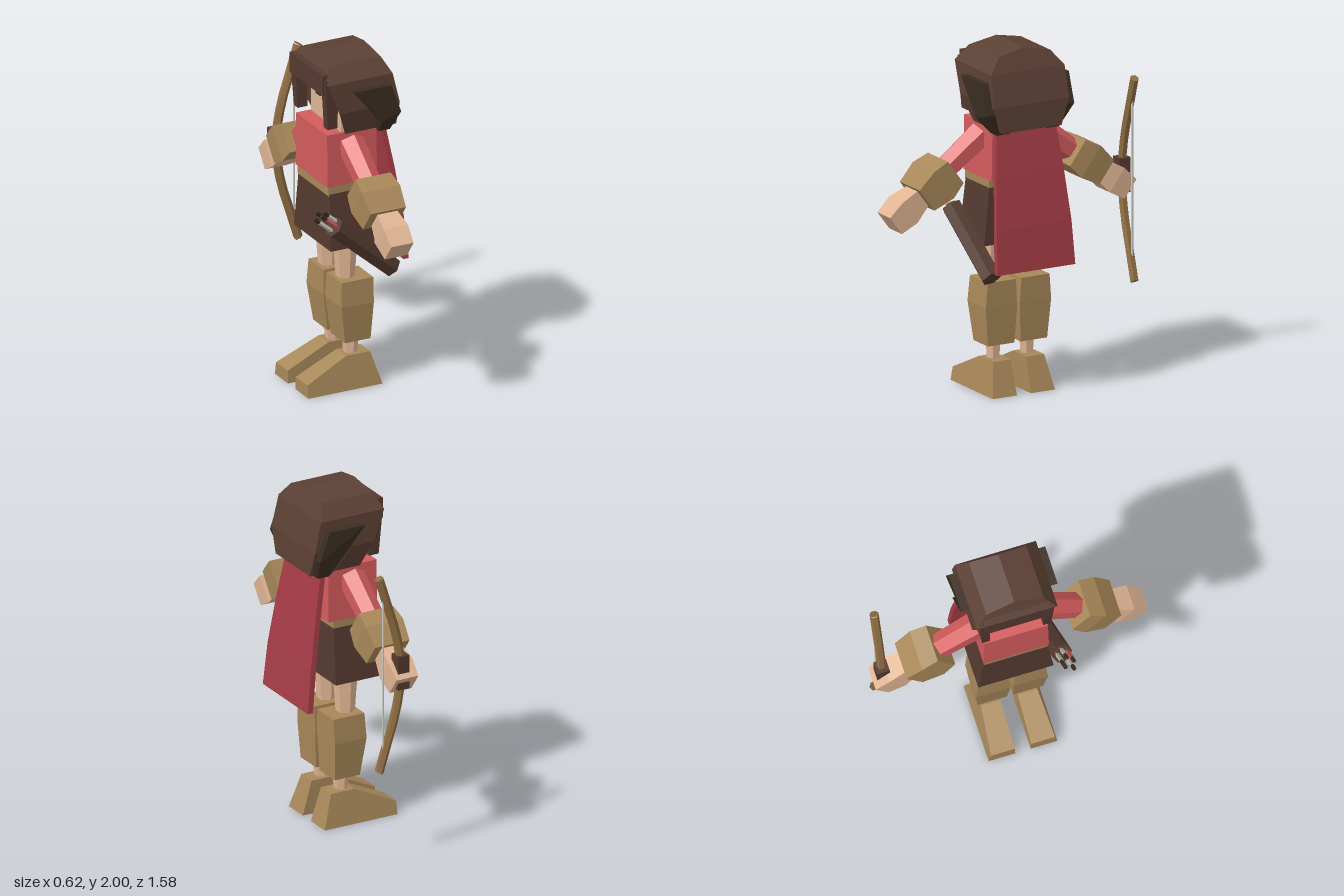
import * as THREE from 'three';

const mat = (name, color, side = THREE.FrontSide) => {
  const m = new THREE.MeshStandardMaterial({ color, side, flatShading: true });
  m.name = name;
  return m;
};

// Triangle soup from a list of polygons (each a list of [x,y,z])
function polygons(faces) {
  const p = [];
  for (const f of faces)
    for (let i = 1; i < f.length - 1; i++) p.push(...f[0], ...f[i], ...f[i + 1]);
  return p;
}

function toGeometry(p) {
  const g = new THREE.BufferGeometry();
  g.setAttribute('position', new THREE.Float32BufferAttribute(p, 3));
  g.computeVertexNormals();
  return g;
}

// Closed solid through rings of equal length, capped, always facing outwards
function loft(rings) {
  const faces = [[...rings[0]].reverse(), rings[rings.length - 1]];
  for (let r = 0; r < rings.length - 1; r++)
    rings[r].forEach((a, i) => {
      const j = (i + 1) % rings[r].length;
      faces.push([a, rings[r][j], rings[r + 1][j], rings[r + 1][i]]);
    });
  const volume = (p) => {
    let v = 0;
    const a = new THREE.Vector3(), b = new THREE.Vector3(), c = new THREE.Vector3();
    for (let i = 0; i < p.length; i += 9)
      v += a.fromArray(p, i).dot(b.fromArray(p, i + 3).cross(c.fromArray(p, i + 6)));
    return v;
  };
  let p = polygons(faces);
  if (volume(p) < 0) p = polygons(faces.map((f) => [...f].reverse()));
  return toGeometry(p);
}

// Stack of rectangles [y, x0, x1, z0, z1]; s = -1 mirrors in z
const stack = (rows, s = 1) => loft(rows.map(([y, x0, x1, z0, z1]) =>
  [[x0, y, s * z0], [x1, y, s * z0], [x1, y, s * z1], [x0, y, s * z1]]));

export function createModel() {
  const skin = mat('skin', 0xe0b594);
  const shirt = mat('red shirt', 0xd45c5e);
  const cloth = mat('crimson cape', 0xa63c46);
  const tan = mat('tan leather', 0xa88859);
  const leather = mat('brown leather', 0x543a2f);
  const hoodMat = mat('hood brown', 0x5c4034, THREE.DoubleSide);
  const dark = mat('dark brown', 0x3a2d21);
  const wood = mat('bow wood', 0x8f6d42);
  const pale = mat('pale grey', 0xc9c9c2);

  const model = new THREE.Group();
  const add = (name, geo, m, parent = model) => {
    const mesh = new THREE.Mesh(geo, m);
    mesh.name = name;
    parent.add(mesh);
    return mesh;
  };
  const box = (name, x0, x1, y0, y1, z0, z1, m, parent) => {
    const mesh = add(name, new THREE.BoxGeometry(x1 - x0, y1 - y0, z1 - z0), m, parent);
    mesh.position.set((x0 + x1) / 2, (y0 + y1) / 2, (z0 + z1) / 2);
    return mesh;
  };
  // Rod between two points
  const rod = (name, a, b, r, sides, m, parent) => {
    const d = b.clone().sub(a);
    const mesh = add(name, new THREE.CylinderGeometry(r, r, d.length(), sides), m, parent);
    mesh.position.copy(a).add(b).multiplyScalar(0.5);
    mesh.quaternion.setFromUnitVectors(new THREE.Vector3(0, 1, 0), d.normalize());
    return mesh;
  };
  const V = (x, y, z) => new THREE.Vector3(x, y, z);

  // Torso, belt and skirt
  add('shirt', stack([[1.245, -0.165, 0.145, -0.19, 0.19], [1.56, -0.165, 0.145, -0.185, 0.185]]), shirt);
  box('belt', -0.155, 0.11, 1.19, 1.25, -0.185, 0.185, tan);
  add('skirt', stack([[0.87, -0.16, 0.115, -0.22, 0.22], [1.2, -0.15, 0.11, -0.185, 0.185]]), leather);

  // Cape hanging away from the back
  const capeRows = [[1.55, 0.165, 0.19], [1.3, 0.21, 0.215], [1.0, 0.255, 0.24], [0.75, 0.28, 0.25]];
  add('cape', stack(capeRows.map(([y, x, w]) => [y, x, x + 0.033, -w, w])), cloth);

  // Hood: rows of [y, half width, front x, back x], open at the face
  const rows = [[2, 0, -0.13, 0.165], [1.965, 0.167, -0.145, 0.18], [1.88, 0.235, -0.185, 0.22],
    [1.7, 0.24, -0.115, 0.262], [1.55, 0.19, -0.055, 0.265]];
  const hoodFaces = [];
  for (let i = 0; i < rows.length - 1; i++) {
    const [y, w, f, b] = rows[i], [y2, w2, f2, b2] = rows[i + 1];
    hoodFaces.push([[f, y, w], [f2, y2, w2], [b2, y2, w2], [b, y, w]]);
    hoodFaces.push([[b, y, -w], [b2, y2, -w2], [f2, y2, -w2], [f, y, -w]]);
    hoodFaces.push([[b, y, w], [b2, y2, w2], [b2, y2, -w2], [b, y, -w]]);
    // brow above the face
    if (i < 2) hoodFaces.push([[f, y, -w], [f2, y2, -w2], [f2, y2, w2], [f, y, w]]);
  }
  hoodFaces.push([[-0.055, 1.55, 0.19], [-0.055, 1.55, -0.19], [0.265, 1.55, -0.19], [0.265, 1.55, 0.19]]);
  add('hood', toGeometry(polygons(hoodFaces)), hoodMat);

  // Face, eyes, fringe and side locks
  box('face', -0.075, 0.1, 1.56, 1.92, -0.18, 0.18, skin);
  box('neck', -0.06, 0.06, 1.5, 1.58, -0.06, 0.06, skin);
  box('fringe', -0.2, -0.12, 1.81, 1.93, -0.195, 0.195, leather);

  for (const s of [1, -1]) {
    const side = s > 0 ? 'left' : 'right';
    box(side + 'Eye', -0.082, -0.074, 1.69, 1.79, s * 0.085 - 0.025, s * 0.085 + 0.025, dark);
    add(side + 'Lock', stack([[1.6, -0.17, -0.108, 0.155, 0.2], [1.9, -0.19, -0.11, 0.16, 0.215]], s), leather);

    // Dark flap on the side of the hood, its tip bent inwards
    const flap = [[-0.04, 1.83], [0.19, 1.83], [0.25, 1.66], [0.22, 1.53], [0.15, 1.53], [0.13, 1.62]];
    const flapRing = (z) => flap.map(([x, y]) => [x, y, s * (y < 1.6 ? z - 0.08 : z)]);
    add(side + 'HoodFlap', loft([flapRing(0.2), flapRing(0.28)]), dark);

    // Arm, built along +y then swung out and down
    const arm = new THREE.Group();
    arm.name = side + 'Arm';
    arm.position.set(-0.012, 1.46, s * 0.2);
    arm.rotation.x = s * 2.21;
    model.add(arm);
    const sleeve = add('sleeve', new THREE.CylinderGeometry(0.07, 0.08, 0.34, 6), shirt, arm);
    sleeve.position.y = 0.13;
    add('bracer', stack([[0.24, -0.11, 0.11, -0.085, 0.085], [0.34, -0.12, 0.12, -0.105, 0.105],
      [0.47, -0.11, 0.11, -0.08, 0.08]]), tan, arm);
    add('hand', stack([[0.45, -0.06, 0.06, -0.055, 0.055], [0.58, -0.076, 0.076, -0.08, 0.08],
      [0.69, -0.07, 0.07, -0.064, 0.064]]), skin, arm);

    // Leg, shin guard and shoe
    const thigh = add(side + 'Thigh', new THREE.CylinderGeometry(0.072, 0.05, 0.32, 6), skin);
    thigh.position.set(-0.01, 0.76, s * 0.105);
    const ankle = add(side + 'Ankle', new THREE.CylinderGeometry(0.05, 0.038, 0.16, 6), skin);
    ankle.position.set(0.02, 0.25, s * 0.108);
    add(side + 'ShinGuard', stack([[0.285, -0.055, 0.105, 0.02, 0.19], [0.51, -0.087, 0.115, 0.008, 0.21],
      [0.655, -0.08, 0.118, 0.018, 0.198]], s), tan);
    const shoe = [[-0.29, 0], [0.175, 0], [0.115, 0.195], [-0.035, 0.195], [-0.29, 0.075]];
    add(side + 'Shoe', loft([
      shoe.map(([x, y]) => [x, y, s * (0.045 + y * 0.03)]),
      shoe.map(([x, y]) => [x, y, s * (0.2 - y * 0.18)]),
    ]), tan);
  }

  // Quiver slung on the left hip, with arrows
  const quiver = new THREE.Group();
  quiver.name = 'quiver';
  model.add(quiver);
  const mouth = V(-0.165, 1.04, 0.265), foot = V(0.217, 0.71, 0.23);
  rod('quiverBody', foot, mouth, 0.06, 6, leather, quiver);
  const dir = mouth.clone().sub(foot).normalize();
  const across = V(0.65, 0.76, 0);
  for (let i = 0; i < 5; i++) {
    const a = i * Math.PI * 0.4;
    const base = mouth.clone().addScaledVector(across, 0.032 * Math.cos(a));
    base.z += 0.032 * Math.sin(a);
    const at = (t) => base.clone().addScaledVector(dir, t);
    const len = 0.11 + 0.02 * (i % 3);
    rod('arrowShaft', at(-0.05), at(len), 0.007, 5, wood, quiver);
    rod('arrowFletching', at(0.01), at(len - 0.03), 0.014, 3, i % 2 ? shirt : pale, quiver);
    rod('arrowNock', at(len - 0.03), at(len + 0.01), 0.012, 5, dark, quiver);
  }

  // Bow held upright in the right hand
  const bow = new THREE.Group();
  bow.name = 'bow';
  bow.position.set(0, 1.125, -0.733);
  model.add(bow);
  const curve = new THREE.CatmullRomCurve3([[0.135, 0.58], [0.085, 0.42], [0.025, 0.22], [-0.004, 0],
    [0.025, -0.22], [0.085, -0.42], [0.135, -0.58]].map(([x, y]) => V(x, y, 0)));
  add('bowLimbs', new THREE.TubeGeometry(curve, 12, 0.026, 6), wood, bow);
  for (const e of [1, -1]) {
    const tip = V(0.135, e * 0.58, 0);
    rod('bowTip', tip.clone(), V(0.138, e * 0.585, 0), 0.026, 6, wood, bow);
  }
  rod('bowString', V(0.11, -0.49, 0), V(0.11, 0.49, 0), 0.007, 5, pale, bow);
  box('bowGrip', -0.04, 0.034, -0.1, 0.1, -0.036, 0.036, leather, bow);

  return model;
}
